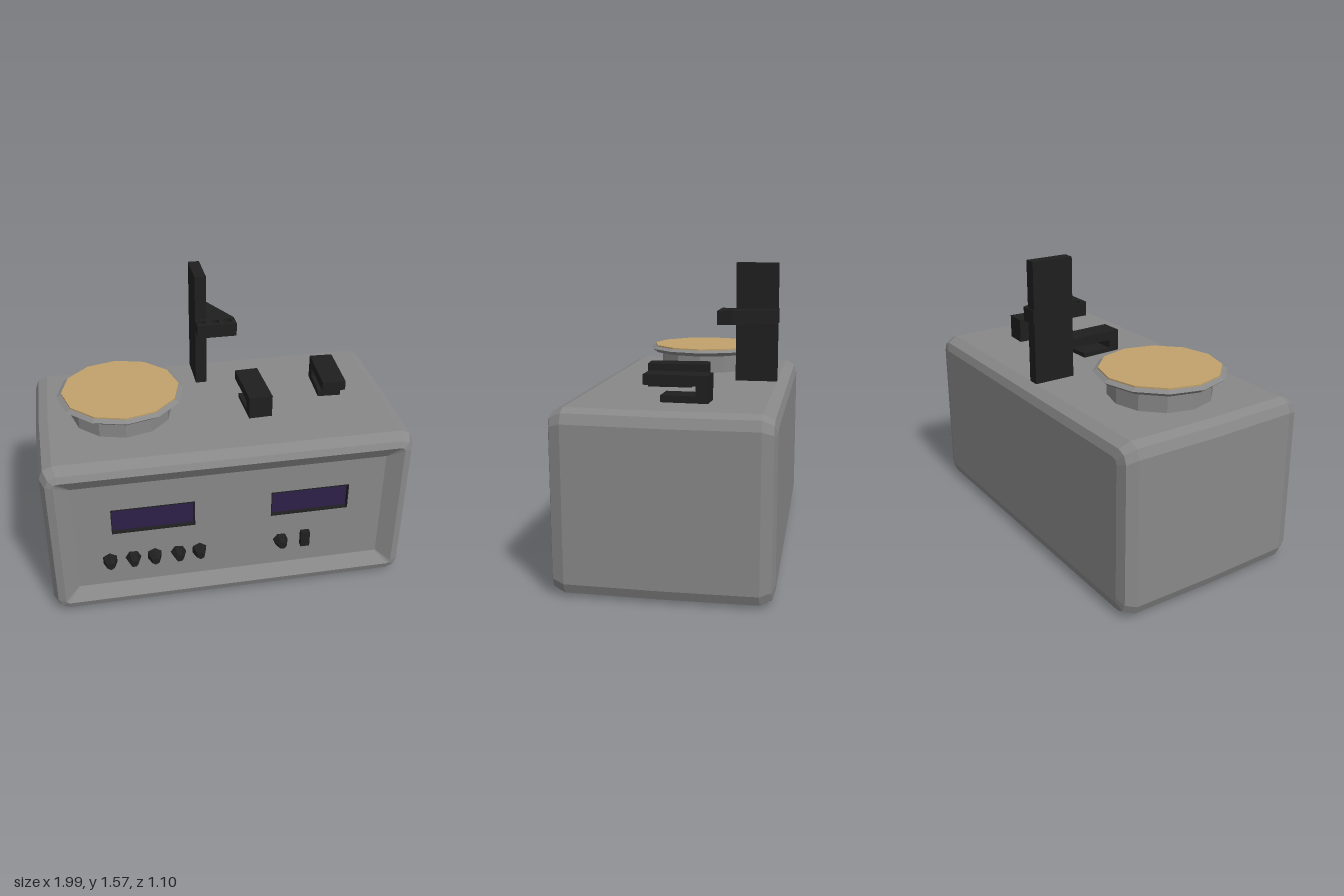
import * as THREE from 'three';

const mat = (name, color) => {
  const m = new THREE.MeshStandardMaterial({ color, flatShading: true });
  m.name = name;
  return m;
};

// Closed outline of a rectangle with two-step chamfered corners, counter-clockwise
function outline(hx, y0, y1, r) {
  const pts = [];
  const corners = [[hx - r, y0 + r, -90], [hx - r, y1 - r, 0], [r - hx, y1 - r, 90], [r - hx, y0 + r, 180]];
  for (const [cx, cy, start] of corners)
    for (const step of [0, 45, 90]) {
      const a = THREE.MathUtils.degToRad(start + step);
      pts.push(new THREE.Vector2(cx + r * Math.cos(a), cy + r * Math.sin(a)));
    }
  return pts;
}

// Rectangular path, used for holes
function rect(x0, x1, y0, y1) {
  return [[x0, y0], [x1, y0], [x1, y1], [x0, y1]].map(p => new THREE.Vector2(...p));
}

// Skin joining consecutive rings [z, halfWidth, bottom, top, cornerRadius]
function loft(rings) {
  const pos = [];
  const loops = rings.map(([z, ...o]) => outline(...o).map(p => [p.x, p.y, z]));
  for (let k = 0; k + 1 < loops.length; k++) {
    const a = loops[k], b = loops[k + 1], n = a.length;
    for (let i = 0; i < n; i++) {
      const j = (i + 1) % n;
      pos.push(...a[i], ...a[j], ...b[j], ...a[i], ...b[j], ...b[i]);
    }
  }
  const g = new THREE.BufferGeometry();
  g.setAttribute('position', new THREE.Float32BufferAttribute(pos, 3));
  g.computeVertexNormals();
  return g;
}

export function createModel() {
  const model = new THREE.Group();
  model.name = 'benchInstrument';
  const grey = mat('grey casing', 0x888888);
  const black = mat('black plastic', 0x1f1f1f);
  const tan = mat('tan plate', 0xc2a26c);
  const violet = mat('dark violet screen', 0x2e2149);

  const add = (name, geo, material, x = 0, y = 0, z = 0, parent = model) => {
    const m = new THREE.Mesh(geo, material);
    m.name = name;
    m.position.set(x, y, z);
    parent.add(m);
    return m;
  };
  const box = (name, x0, x1, y0, y1, z0, z1, material = black, parent = model) =>
    add(name, new THREE.BoxGeometry(x1 - x0, y1 - y0, z1 - z0), material,
      (x0 + x1) / 2, (y0 + y1) / 2, (z0 + z1) / 2, parent);

  // Casing with bevelled edges and a sunken front
  const panelZ = 0.495;
  const rings = [
    [-0.54, 0.91, 0.09, 0.86, 0.03],
    [-0.525, 0.965, 0.04, 0.905, 0.06],
    [-0.47, 0.99, 0.015, 0.935, 0.07],
    [0, 0.995, 0.015, 0.935, 0.07],
    [0.47, 0.985, 0.015, 0.938, 0.07],
    [0.53, 0.96, 0.04, 0.91, 0.06],
    [0.545, 0.92, 0.08, 0.875, 0.02],
    [panelZ, 0.84, 0.15, 0.8, 0.005],
  ];
  add('casing', loft(rings), grey);
  const back = new THREE.Shape(outline(...rings[0].slice(1)));
  add('casingBack', new THREE.ShapeGeometry(back), grey, 0, 0, rings[0][0]).rotation.y = Math.PI;

  // Front panel with two sunken screens
  const panel = new THREE.Shape(outline(...rings[rings.length - 1].slice(1)));
  for (const [x0, x1] of [[-0.645, -0.2], [0.215, 0.645]]) {
    panel.holes.push(new THREE.Path(rect(x0, x1, 0.485, 0.64)));
    const frame = new THREE.Shape(rect(x0, x1, 0.485, 0.64));
    frame.holes.push(new THREE.Path(rect(x0 + 0.005, x1 - 0.005, 0.49, 0.635)));
    add('screenFrame', new THREE.ExtrudeGeometry(frame, { depth: 0.027, bevelEnabled: false }),
      black, 0, 0, panelZ - 0.025);
    box('screen', x0, x1, 0.485, 0.64, panelZ - 0.03, panelZ - 0.022, violet);
  }
  add('frontPanel', new THREE.ShapeGeometry(panel), grey, 0, 0, panelZ);

  // Control knobs and switch
  [-0.665, -0.54, -0.425, -0.295, -0.18, 0.275].forEach((x, i) => {
    const knob = add('knob', new THREE.CylinderGeometry(0.022, 0.043, 0.06, 6), black, x, 0.313, panelZ + 0.03);
    knob.rotation.set(Math.PI / 2, i * 0.5, 0);
  });
  box('switch', 0.385, 0.435, 0.268, 0.362, panelZ, panelZ + 0.03);

  // Round sample platform
  const platform = new THREE.Group();
  platform.name = 'platform';
  platform.position.set(-0.522, 0, 0);
  model.add(platform);
  const disc = (name, top, bottom, y0, y1, material) =>
    add(name, new THREE.CylinderGeometry(top, bottom, y1 - y0, 12), material, 0, (y0 + y1) / 2, 0, platform);
  disc('platformBase', 0.275, 0.275, 0.92, 1.045, grey);
  disc('platformFlare', 0.345, 0.315, 1.038, 1.06, grey);
  disc('platformRim', 0.318, 0.345, 1.06, 1.073, grey);
  disc('platformPlate', 0.318, 0.318, 1.073, 1.081, tan);

  // Upright post and its arm with three holes
  box('post', -0.07, -0.007, 0.92, 1.587, -0.47, -0.24);
  const arm = new THREE.Shape([[-0.07, 0.155], [0.15, 0.155], [0.15, 0.235], [0.03, 0.475], [-0.07, 0.475]]
    .map(p => new THREE.Vector2(...p)));
  for (const x of [-0.042, 0.034, 0.105]) {
    const hole = new THREE.Path();
    hole.absarc(x, 0.203, 0.025, 0, Math.PI * 2, true);
    arm.holes.push(hole);
  }
  const armMesh = add('arm', new THREE.ExtrudeGeometry(arm, { depth: 0.075, bevelEnabled: false, curveSegments: 5 }),
    black, 0, 1.26, 0);
  armMesh.rotation.x = -Math.PI / 2;

  // C-shaped sensors: leg, overhanging bar and thin foot, facing opposite ways
  for (const [x, z, y, turn] of [[0.207, 0.04, 0.925, 0.04], [0.65, -0.032, 0.935, Math.PI - 0.05]]) {
    const sensor = new THREE.Group();
    sensor.name = 'sensor';
    sensor.position.set(x, y, z);
    sensor.rotation.y = turn;
    model.add(sensor);
    box('sensorLeg', -0.064, 0.064, 0, 0.135, 0.1, 0.162, black, sensor);
    box('sensorBar', -0.064, 0.064, 0.083, 0.135, -0.162, 0.1, black, sensor);
    box('sensorFoot', -0.064, 0.064, 0, 0.035, -0.075, 0.1, black, sensor);
  }
  return model;
}
